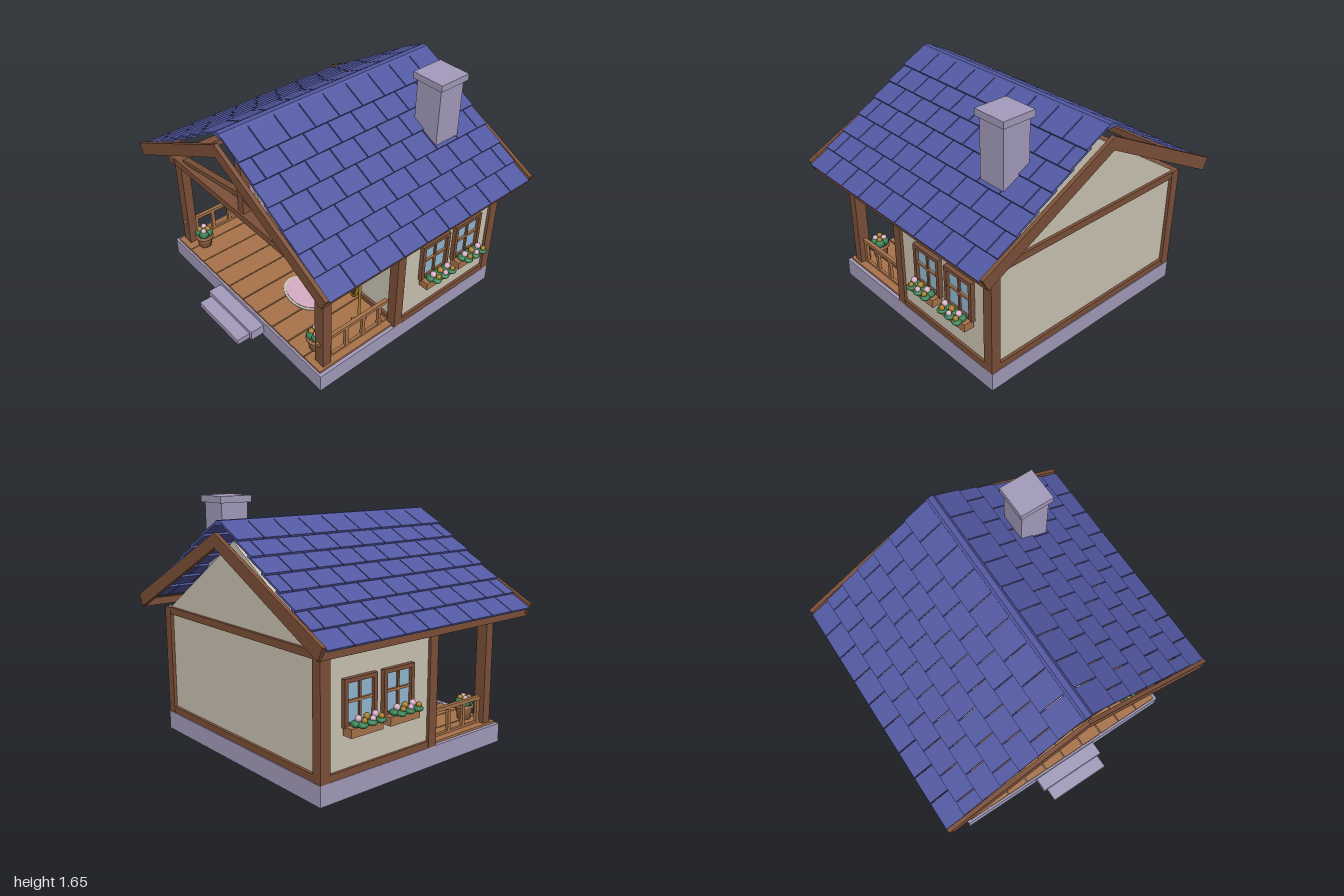
import * as THREE from 'three';
import { mergeGeometries } from 'three/addons/utils/BufferGeometryUtils.js';

const mat = (name, color, side = THREE.FrontSide) => {
  const m = new THREE.MeshStandardMaterial({ color, side });
  m.name = name;
  return m;
};

export function createModel() {
  const root = new THREE.Group();
  root.name = 'cottage';
  const blue = mat('roof blue', 0x5259a2), stone = mat('lilac stone', 0xa49cbc);
  const cream = mat('cream plaster', 0xccc4b3), timber = mat('dark timber', 0x7c5039);
  const wood = mat('warm wood', 0xa8734a), pink = mat('soft pink', 0xd6aec4);
  const gold = mat('brass', 0xa37a26), glass = mat('window glass', 0x94b9d0);
  const green = mat('leaf green', 0x357f52), mirrorMat = mat('mirror brown', 0x655241);

  const add = (name, geo, m, x = 0, y = 0, z = 0, parent = root) => {
    const mesh = new THREE.Mesh(geo, m);
    mesh.name = name;
    mesh.position.set(x, y, z);
    parent.add(mesh);
    return mesh;
  };
  // box given by its minimum and maximum on each axis
  const box = (name, m, x0, x1, y0, y1, z0, z1, parent = root) =>
    add(name, new THREE.BoxGeometry(x1 - x0, y1 - y0, z1 - z0), m,
      (x0 + x1) / 2, (y0 + y1) / 2, (z0 + z1) / 2, parent);
  // flat outline in x, y pulled along z
  const slab = (name, m, pts, z0, z1) => {
    const s = new THREE.Shape(pts.map(p => new THREE.Vector2(...p)));
    return add(name, new THREE.ExtrudeGeometry(s, { depth: z1 - z0, bevelEnabled: false }), m, 0, 0, z0);
  };
  const ball = (name, m, r, x, y, z, parent = root, sy = 1) => {
    const b = add(name, new THREE.SphereGeometry(r, 14, 10), m, x, y, z, parent);
    b.scale.y = sy;
    return b;
  };
  const disc = (name, m, r, depth, x, y, z, parent = root) => {
    const d = add(name, new THREE.CylinderGeometry(r, r, depth, 32), m, x, y, z, parent);
    d.rotation.x = Math.PI / 2;
    return d;
  };

  // base and steps
  box('foundation', stone, -0.845, 0.845, 0, 0.13, -0.83, 0.74);
  box('upperStep', stone, -0.255, 0.25, 0.03, 0.1, 0.74, 0.84);
  box('lowerStep', stone, -0.228, 0.225, 0.03, 0.07, 0.84, 0.935);

  // porch planks running front to back
  const planks = 10, pw = 1.65 / planks;
  for (let i = 0; i < planks; i++) {
    const x = -0.825 + i * pw;
    box('floorPlank', wood, x + 0.004, x + pw - 0.004, 0.13, 0.145, 0.08, 0.725);
  }

  // walls and gables
  box('houseWalls', cream, -0.825, 0.825, 0.13, 0.89, -0.805, 0.08);
  for (const z of [0.03, -0.805]) slab('gableWall', cream, [[-0.8, 0.89], [0.8, 0.89], [0, 1.41]], z, z + 0.05);

  // timber frame
  for (const s of [-1, 1]) {
    const bar = (name, m, x0, x1, ...r) => box(name, m, Math.min(s * x0, s * x1), Math.max(s * x0, s * x1), ...r);
    bar('frontCornerPost', timber, 0.775, 0.845, 0.13, 0.89, 0.04, 0.108);
    bar('backCornerPost', timber, 0.775, 0.845, 0.13, 0.89, -0.828, -0.757);
    bar('porchPost', timber, 0.725, 0.805, 0.13, 0.86, 0.62, 0.685);
    bar('sideTopBeam', timber, 0.775, 0.845, 0.842, 0.89, -0.828, 0.71);
    bar('sideSillBeam', timber, 0.8, 0.843, 0.13, 0.175, -0.76, 0.05);
    bar('eaveBoard', timber, 0.94, 0.965, 0.885, 0.935, -0.92, 0.815);
    bar('baseboard', timber, 0.19, 0.78, 0.145, 0.178, 0.07, 0.1);
    // truss brace
    slab('trussBrace', timber, s > 0
      ? [[0.02, 0.985], [0.7, 0.885], [0.7, 0.912], [0.02, 1.025]]
      : [[-0.02, 1.025], [-0.7, 0.912], [-0.7, 0.885], [-0.02, 0.985]], 0.63, 0.675);
    // side railing
    bar('handRail', wood, 0.747, 0.773, 0.308, 0.332, 0.105, 0.7);
    bar('bottomRail', wood, 0.75, 0.77, 0.145, 0.16, 0.105, 0.62);
    for (let i = 0; i < 4; i++) bar('baluster', wood, 0.749, 0.771, 0.14, 0.31, 0.16 + i * 0.143, 0.185 + i * 0.143);
  }
  box('backSillBeam', timber, -0.78, 0.78, 0.13, 0.175, -0.825, -0.79);
  box('backTopBeam', timber, -0.78, 0.78, 0.842, 0.89, -0.825, -0.79);
  box('wallTopBeam', timber, -0.78, 0.78, 0.842, 0.89, 0.07, 0.1);
  box('porchTieBeam', timber, -0.81, 0.81, 0.842, 0.892, 0.62, 0.7);
  box('kingPost', timber, -0.03, 0.03, 0.89, 1.4, 0.625, 0.685);

  // verge boards on both ends of the roof
  const verge = [[-1, 0.965], [-0.96, 0.885], [0, 1.38], [0.96, 0.885], [1, 0.965], [0, 1.47]];
  slab('frontVergeBoard', timber, verge, 0.805, 0.832);
  slab('backVergeBoard', timber, verge, -0.94, -0.913);

  // roof tiles: seven overlapping rows on each slope, joints staggered
  const pitch = Math.atan(0.505), len = 0.19, thick = 0.0135, z0 = -0.91, z1 = 0.805, tw = (z1 - z0) / 9;
  for (const s of [-1, 1]) {
    const tiles = [];
    for (let row = 0; row < 7; row++) {
      const xl = 0.998 - 0.133 * row, yl = 0.935 + 0.0827 * row;
      const shift = row % 2 ? tw / 2 : 0;
      for (let k = 0; k < 10; k++) {
        const a = Math.max(z0, z0 + k * tw - shift), b = Math.min(z1, z0 + (k + 1) * tw - shift);
        if (b - a < 0.02) continue;
        const g = new THREE.BoxGeometry(len, thick, b - a - 0.007);
        g.rotateZ(-s * pitch);
        g.translate(s * (xl - len / 2 * Math.cos(pitch)), yl + len / 2 * Math.sin(pitch) + thick / 2, (a + b) / 2);
        tiles.push(g);
      }
    }
    add(s > 0 ? 'leftRoofTiles' : 'rightRoofTiles', mergeGeometries(tiles), blue);
  }
  slab('ridgeCap', blue, [[-0.05, 1.51], [0.05, 1.51], [0.018, 1.54], [-0.018, 1.54]], z0, z1);

  // chimney
  box('chimneyShaft', stone, 0.38, 0.58, 1.04, 1.61, -0.64, -0.44);
  box('chimneyCap', stone, 0.36, 0.6, 1.61, 1.655, -0.66, -0.42);

  // round gable window
  disc('gableGlass', glass, 0.08, 0.008, 0, 1.08, 0.085);
  add('gableWindowRing', new THREE.TorusGeometry(0.08, 0.013, 8, 36), timber, 0, 1.08, 0.09);
  box('gableWindowBar', timber, -0.08, 0.08, 1.073, 1.087, 0.085, 0.1);
  box('gableWindowBar', timber, -0.007, 0.007, 1, 1.16, 0.085, 0.1);

  // front door
  box('doorFrameSide', timber, -0.195, -0.152, 0.145, 0.785, 0.07, 0.125);
  box('doorFrameSide', timber, 0.15, 0.193, 0.145, 0.785, 0.07, 0.125);
  box('doorFrameTop', timber, -0.155, 0.155, 0.742, 0.785, 0.07, 0.125);
  box('doorSill', timber, -0.155, 0.155, 0.145, 0.178, 0.07, 0.12);
  box('door', blue, -0.155, 0.155, 0.178, 0.742, 0.075, 0.11);
  for (const x of [-0.09, 0, 0.09]) box('doorStripe', wood, x - 0.004, x + 0.004, 0.18, 0.74, 0.108, 0.113);
  disc('doorGlass', glass, 0.05, 0.01, 0, 0.6, 0.115);
  add('doorWindowRing', new THREE.TorusGeometry(0.05, 0.011, 8, 32), gold, 0, 0.6, 0.118);
  ball('doorKnob', gold, 0.015, 0.105, 0.425, 0.125);
  box('baseboard', timber, -0.78, -0.19, 0.145, 0.178, 0.07, 0.1);

  // wardrobe
  box('wardrobeBody', pink, -0.655, -0.33, 0.145, 0.745, 0.085, 0.21);
  for (const s of [-1, 1]) {
    const c = -0.4925 + s * 0.079;
    box('wardrobeDoor', cream, c - 0.076, c + 0.076, 0.27, 0.735, 0.205, 0.222);
    box('wardrobePanel', pink, c - 0.047, c + 0.047, 0.31, 0.69, 0.22, 0.226);
    ball('wardrobeKnob', gold, 0.012, -0.4925 + s * 0.024, 0.45, 0.23);
  }
  box('wardrobeDrawer', cream, -0.645, -0.34, 0.17, 0.262, 0.205, 0.222);
  ball('wardrobeKnob', gold, 0.012, -0.4925, 0.22, 0.23);
  box('wardrobeCornice', cream, -0.68, -0.308, 0.74, 0.777, 0.085, 0.24);
  box('storageBox', pink, -0.6, -0.395, 0.777, 0.812, 0.11, 0.2);

  // hanging lantern
  box('lanternBracket', timber, -0.248, -0.232, 0.83, 0.846, 0.08, 0.21);
  box('lanternChain', timber, -0.244, -0.236, 0.745, 0.84, 0.196, 0.204);
  box('lanternTop', gold, -0.275, -0.205, 0.735, 0.748, 0.165, 0.235);
  box('lanternBody', gold, -0.266, -0.214, 0.665, 0.737, 0.174, 0.226);
  box('lanternBase', gold, -0.273, -0.207, 0.655, 0.666, 0.167, 0.233);

  // standing oval mirror, turned toward the door
  const mirror = new THREE.Group();
  mirror.name = 'standingMirror';
  mirror.position.set(0.497, 0.53, 0.175);
  mirror.rotation.y = -0.42;
  root.add(mirror);
  const oval = disc('mirrorFace', mirrorMat, 0.3, 0.012, 0, 0, 0, mirror);
  oval.scale.x = 0.45;
  const rim = add('mirrorRim', new THREE.TorusGeometry(0.296, 0.014, 8, 48), gold, 0, 0, 0, mirror);
  rim.scale.x = 0.46;
  for (const s of [-1, 1]) {
    add('mirrorStand', new THREE.CylinderGeometry(0.01, 0.01, 0.45, 10), gold, s * 0.163, -0.16, 0, mirror);
    ball('mirrorFinial', gold, 0.017, s * 0.163, 0.06, 0, mirror);
    box('mirrorFoot', gold, s * 0.163 - 0.01, s * 0.163 + 0.01, -0.385, -0.37, -0.05, 0.05, mirror);
  }

  // oval rug
  const rugEdge = add('rugEdge', new THREE.CylinderGeometry(0.185, 0.185, 0.006, 40), cream, 0.235, 0.148, 0.36);
  const rug = add('rug', new THREE.CylinderGeometry(0.163, 0.163, 0.006, 40), pink, 0.235, 0.151, 0.36);
  rugEdge.scale.z = rug.scale.z = 0.72;

  // potted plants beside the steps
  const potProfile = [[0, 0], [0.045, 0], [0.058, 0.08], [0.066, 0.08], [0.066, 0.1], [0.054, 0.1], [0.05, 0.088], [0, 0.088]]
    .map(p => new THREE.Vector2(...p));
  for (const s of [-1, 1]) {
    add('flowerPot', new THREE.LatheGeometry(potProfile, 20), wood, s * 0.645, 0.145, 0.61);
    for (let i = 0; i < 4; i++) {
      const a = i * Math.PI / 2 + 0.6, x = s * 0.645 + 0.03 * Math.cos(a), z = 0.61 + 0.03 * Math.sin(a);
      ball('potLeaves', green, 0.034, x, 0.262, z);
      ball('potFlower', i % 2 ? gold : pink, 0.02, x, 0.293, z);
    }
  }

  // side windows with flower boxes
  for (const s of [-1, 1]) for (const zc of [-0.232, -0.535]) {
    const w = new THREE.Group();
    w.name = 'sideWindow';
    w.position.set(s * 0.825, 0, zc);
    w.rotation.y = s * Math.PI / 2; // local z points outward
    root.add(w);
    box('glassPane', glass, -0.105, 0.105, 0.44, 0.695, 0, 0.008, w);
    for (const t of [-1, 1]) {
      box('windowFrame', timber, t * 0.112 - 0.013, t * 0.112 + 0.013, 0.425, 0.712, 0, 0.03, w);
      box('windowFrame', timber, -0.1, 0.1, 0.567 + t * 0.132 - 0.013, 0.567 + t * 0.132 + 0.013, 0, 0.03, w);
    }
    box('windowBar', timber, -0.008, 0.008, 0.44, 0.695, 0, 0.02, w);
    box('windowBar', wood, -0.1, 0.1, 0.567, 0.583, 0, 0.022, w);
    box('flowerBox', wood, -0.122, 0.122, 0.382, 0.437, 0.01, 0.082, w);
    for (let i = -1; i <= 1; i++) {
      ball('boxLeaves', green, 0.036, i * 0.07, 0.455, 0.065, w, 0.6);
      ball('boxLeaves', green, 0.032, i * 0.07 + 0.012, 0.455, 0.105, w, 0.6);
      ball('boxFlower', i ? pink : gold, 0.021, i * 0.065, 0.487, 0.075, w);
      ball('boxFlower', i ? gold : pink, 0.018, i * 0.065 + 0.015, 0.48, 0.11, w);
    }
  }
  return root;
}
